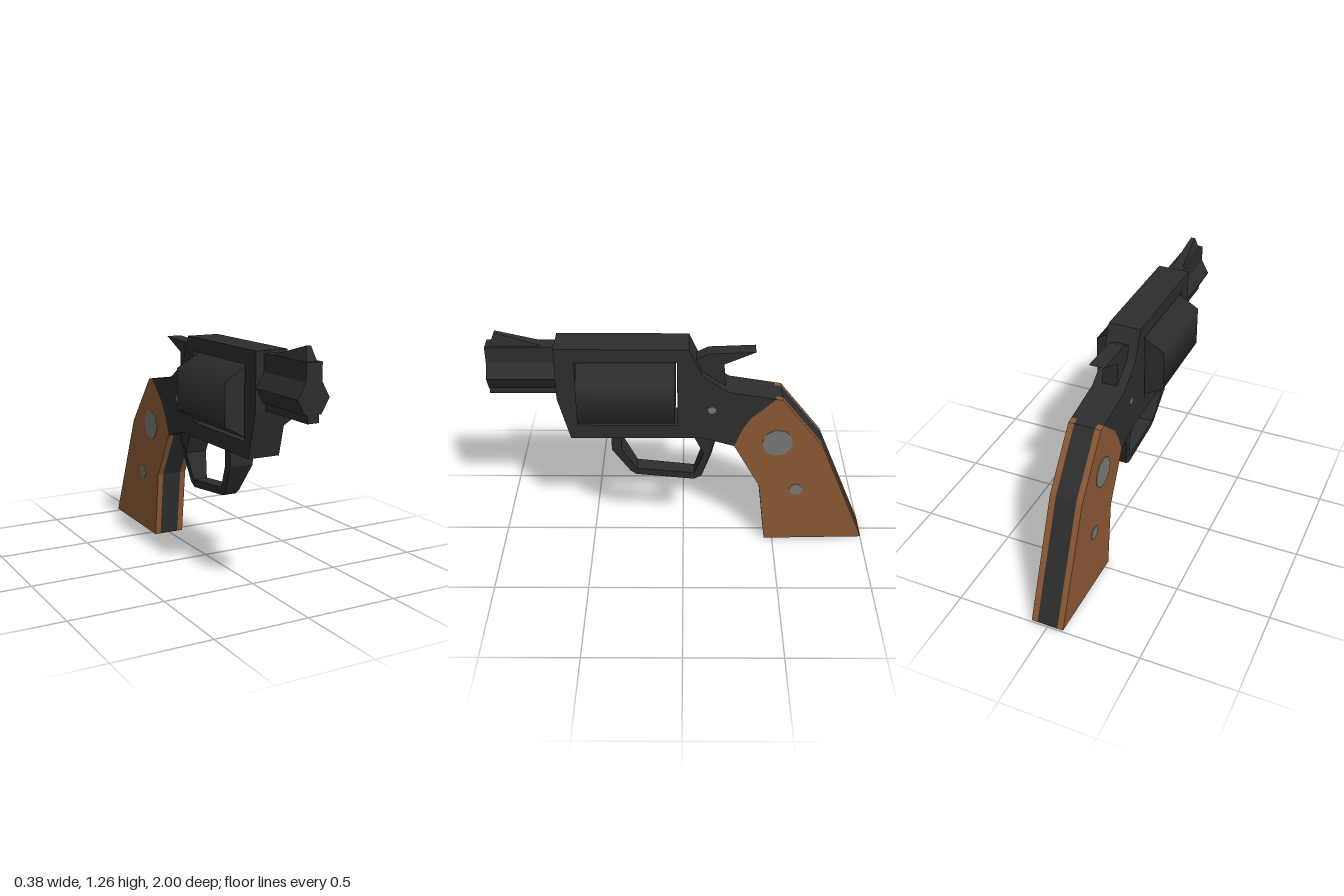
import * as THREE from 'three';
import { ConvexGeometry } from 'three/addons/geometries/ConvexGeometry.js';

const gunmetal = new THREE.MeshStandardMaterial({ name: 'gunmetal', color: 0x2d2d2d });
const wood = new THREE.MeshStandardMaterial({ name: 'wood', color: 0x8b5834 });
const steel = new THREE.MeshStandardMaterial({ name: 'steel', color: 0x777775 });

const toShape = (pts, Type = THREE.Shape) => new Type(pts.map(([a, b]) => new THREE.Vector2(a, b)));

// Extrudes a [z, y] side profile across x, from x0 to x1
function sideSlab(pts, x0, x1, hole) {
  const shape = toShape(pts);
  if (hole) shape.holes.push(toShape(hole, THREE.Path));
  const geo = new THREE.ExtrudeGeometry(shape, { depth: x1 - x0, bevelEnabled: false });
  return geo.rotateY(-Math.PI / 2).translate(x1, 0, 0);
}

export function createModel() {
  const group = new THREE.Group();
  const add = (name, geo, mat) => {
    const mesh = new THREE.Mesh(geo, mat);
    mesh.name = name;
    group.add(mesh);
    return mesh;
  };
  const W = 0.087; // half width of frame and grip

  // Frame with an open window for the cylinder
  add('frame', sideSlab([
    [0.65, 1.21], [-0.03, 1.21], [-0.1, 1.055], [-0.24, 0.96], [-0.48, 0.92],
    [-0.35, 0.8], [-0.31, 0.73], [-0.27, 0.63], [-0.1, 0.68], [0.59, 0.68], [0.65, 0.92],
  ], -W, W, [[0.55, 1.135], [0.55, 0.76], [0.03, 0.76], [0.03, 1.135]]), gunmetal);

  // Six-sided drum, corner upward, softly shaded
  add('cylinder', new THREE.CylinderGeometry(0.218, 0.218, 0.5, 6)
    .rotateX(Math.PI / 2).translate(0, 0.948, 0.29), gunmetal);

  // Barrel: hexagonal tube with a rib above and an ejector housing below
  const half = [[0.043, 1.197], [0.043, 1.11], [0.085, 1.035], [0.043, 0.96], [0.031, 0.96], [0.031, 0.922]];
  const section = [...half, ...half.map(([x, y]) => [-x, y]).reverse()];
  add('barrel', new THREE.ExtrudeGeometry(toShape(section), { depth: 0.36, bevelEnabled: false })
    .translate(0, 0, 0.64), gunmetal);

  // Front sight, narrowing to its tip
  const sight = [[0.03, 1.19, 0.68], [0.03, 1.19, 0.98], [0.012, 1.265, 0.95]]
    .flatMap(([x, y, z]) => [new THREE.Vector3(x, y, z), new THREE.Vector3(-x, y, z)]);
  add('frontSight', new ConvexGeometry(sight), gunmetal);

  // Hammer with its thumb spur
  add('hammer', sideSlab([
    [-0.05, 1.12], [-0.13, 1.16], [-0.37, 1.17], [-0.21, 1.1], [-0.22, 0.95], [-0.08, 1.0],
  ], -0.04, 0.04), gunmetal);

  // Trigger guard, tapering in width toward the bottom
  const guard = sideSlab([
    [0.38, 0.69], [0.38, 0.59], [0.285, 0.435], [0.255, 0.41], [-0.06, 0.377], [-0.1, 0.4],
    [-0.15, 0.56], [-0.175, 0.67], [-0.05, 0.69], [-0.11, 0.56], [-0.06, 0.42], [0.25, 0.452],
    [0.328, 0.59], [0.328, 0.69],
  ], -1, 1);
  const pos = guard.attributes.position;
  for (let i = 0; i < pos.count; i++) {
    const t = THREE.MathUtils.clamp((pos.getY(i) - 0.4) / 0.2, 0, 1);
    pos.setX(i, pos.getX(i) * THREE.MathUtils.lerp(0.037, 0.067, t));
  }
  guard.computeVertexNormals();
  add('triggerGuard', guard, gunmetal);

  // Grip: metal core between two wooden panels
  const grip = [
    [-0.27, 0.63], [-0.31, 0.73], [-0.35, 0.8], [-0.48, 0.92], [-0.515, 0.915],
    [-0.74, 0.63], [-1, 0.012], [-0.455, 0], [-0.412, 0.37],
  ];
  const C = 0.055;
  add('gripCore', sideSlab(grip, -C, C), gunmetal);
  add('leftGripPanel', sideSlab(grip, C, W), wood);
  add('rightGripPanel', sideSlab(grip, -W, -C), wood);

  // Flush pins and medallions on both sides
  const discs = [
    ['framePin', -0.15, 0.855, 0.022, 8],
    ['gripMedallion', -0.5, 0.65, 0.083, 9],
    ['gripScrew', -0.615, 0.343, 0.038, 8],
  ];
  for (const [name, z, y, r, sides] of discs) {
    for (const s of [-1, 1]) {
      add(name, new THREE.CylinderGeometry(r, r, 0.006, sides)
        .rotateZ(Math.PI / 2).translate(s * W, y, z), steel);
    }
  }
  return group;
}
